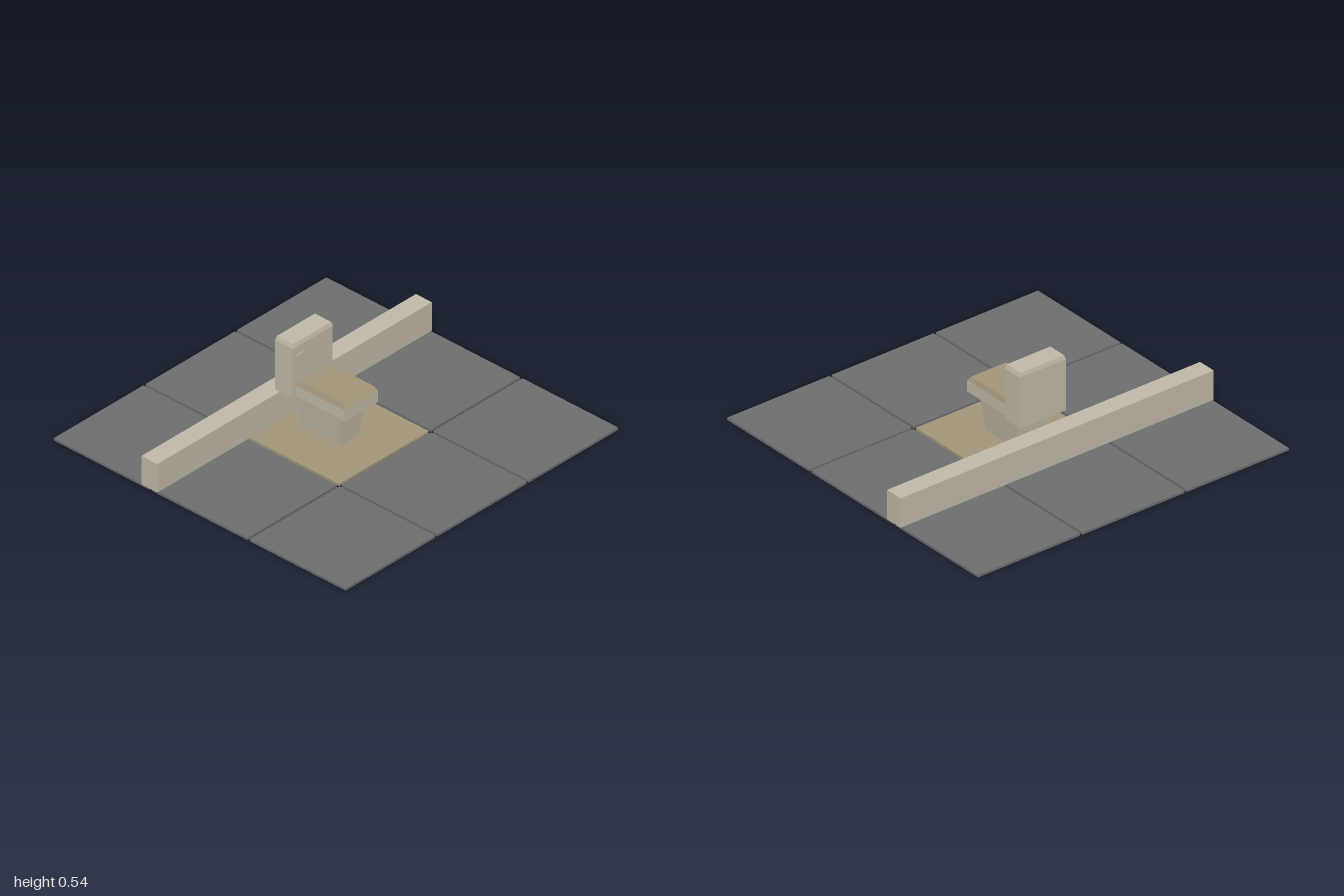
import * as THREE from 'three';

const mat = (name, color) => {
  const m = new THREE.MeshStandardMaterial({ color });
  m.name = name;
  return m;
};

export function createModel() {
  const group = new THREE.Group();
  const slate = mat('slate grey', 0x6d6f6e);
  const tan = mat('tan', 0xa29679);
  const stone = mat('warm stone', 0xc0b9a7);

  const add = (name, geometry, material) => {
    const mesh = new THREE.Mesh(geometry, material);
    mesh.name = name;
    group.add(mesh);
    return mesh;
  };

  // Box given by its bounds, with an optional inset of the top face on each side
  const block = (x0, x1, y0, y1, z0, z1, inset = {}) => {
    const { side = 0, front = 0, back = 0 } = inset;
    const geo = new THREE.BoxGeometry(x1 - x0, y1 - y0, z1 - z0);
    geo.translate((x0 + x1) / 2, (y0 + y1) / 2, (z0 + z1) / 2);
    const p = geo.attributes.position;
    const midX = (x0 + x1) / 2, midY = (y0 + y1) / 2, midZ = (z0 + z1) / 2;
    for (let i = 0; i < p.count; i++) {
      if (p.getY(i) < midY) continue;
      p.setX(i, p.getX(i) + (p.getX(i) > midX ? -side : side));
      p.setZ(i, p.getZ(i) + (p.getZ(i) > midZ ? -front : back));
    }
    const flat = geo.toNonIndexed();
    flat.computeVertexNormals();
    return flat;
  };

  // Floor: three by three tiles, the middle one tan
  const floor = 0.014, pitch = 0.667, half = 0.326;
  for (let i = -1; i <= 1; i++) {
    for (let j = -1; j <= 1; j++) {
      const x = i * pitch, z = j * pitch, centre = i === 0 && j === 0;
      add(centre ? 'centreTile' : 'floorTile',
        block(x - half, x + half, 0, floor, z - half, z + half), centre ? tan : slate);
    }
  }

  // Low wall across the back
  add('lowWall', block(-1, 1, floor, 0.183, -0.39, -0.282), stone);

  // Pedestal widening upwards
  add('pedestal', block(-0.067, 0.067, floor, 0.218, -0.173, 0.092,
    { side: -0.026, front: -0.02, back: -0.02 }), stone);

  // Bowl rim and bevelled lid
  add('bowlRim', block(-0.121, 0.121, 0.218, 0.283, -0.16, 0.174), stone);
  add('lid', block(-0.121, 0.121, 0.283, 0.31, -0.16, 0.174,
    { side: 0.011, front: 0.022, back: 0.022 }), tan);

  // Cistern with a bevelled top and a small flush lever
  add('cistern', block(-0.146, 0.146, 0.218, 0.512, -0.278, -0.16), stone);
  add('cisternTop', block(-0.146, 0.146, 0.512, 0.535, -0.278, -0.157,
    { side: 0.007, front: 0.006, back: 0.005 }), stone);
  add('flushLever', block(-0.12, -0.07, 0.454, 0.464, -0.162, -0.154), stone);

  return group;
}
